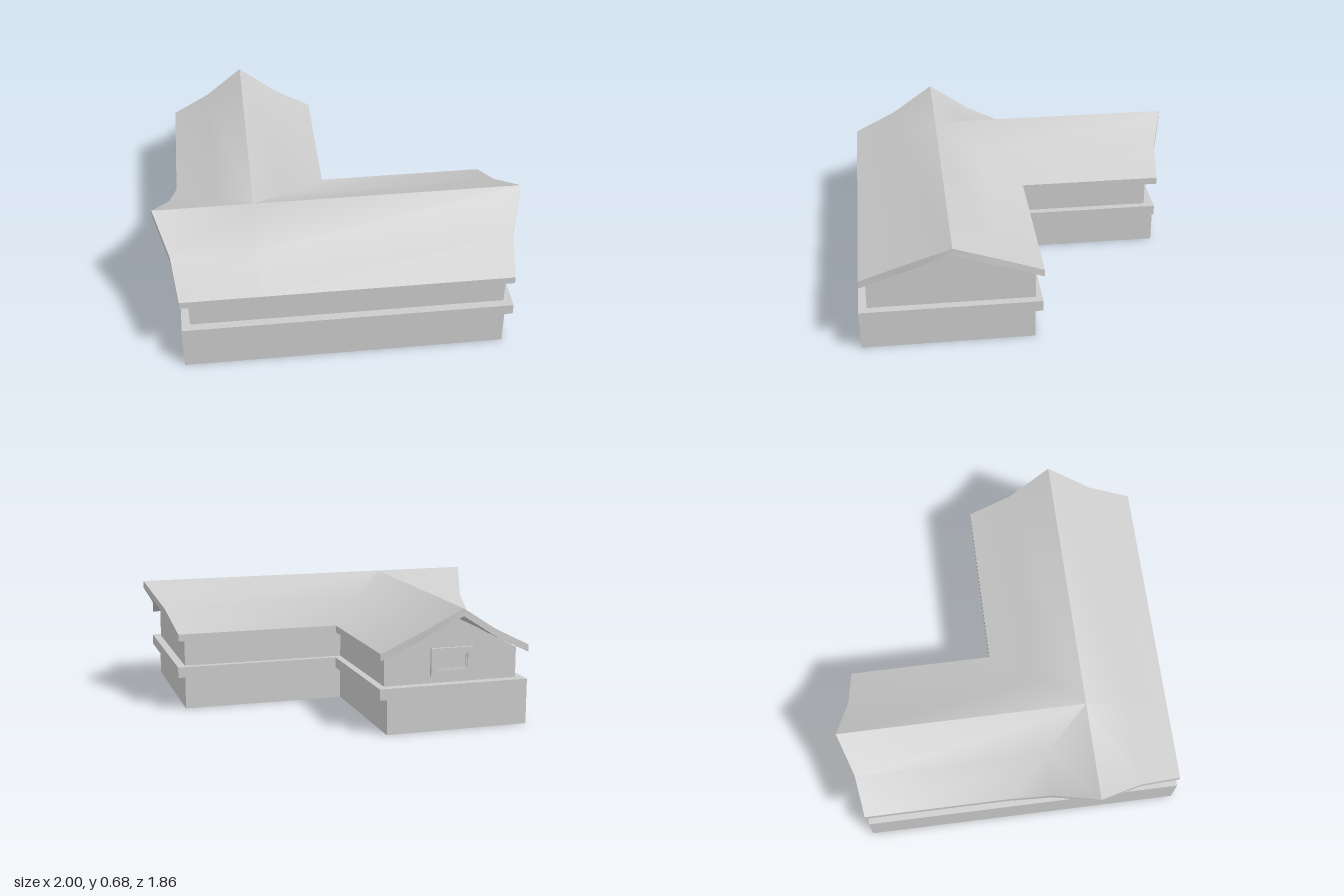
import * as THREE from 'three';
import { toCreasedNormals } from 'three/addons/utils/BufferGeometryUtils.js';

const material = new THREE.MeshStandardMaterial({ color: 0xcccccc, side: THREE.DoubleSide });

// Collects quads given counter-clockwise and turns them into a geometry
function quadBuilder() {
  const pos = [];
  return {
    quad(a, b, c, d, flip = false) {
      const q = flip ? [d, c, b, a] : [a, b, c, d];
      for (const i of [0, 1, 2, 0, 2, 3]) pos.push(...q[i]);
    },
    build() {
      const g = new THREE.BufferGeometry();
      g.setAttribute('position', new THREE.Float32BufferAttribute(pos, 3));
      g.computeVertexNormals();
      return g;
    },
  };
}

function addMesh(parent, geometry, name) {
  const mesh = new THREE.Mesh(geometry, material);
  mesh.name = name;
  parent.add(mesh);
  return mesh;
}

// Roof layout: two crossing gables sharing one height profile
const RIDGE_Z = 0.44, RIDGE_X = -0.46, THICK = 0.04;
const PROFILE = [ // share of half span, height, main end x, wing end z
  { t: 0, y: 0.675, x: 1, z: -0.93 },
  { t: 0.5, y: 0.545, x: 0.915, z: -0.86 },
  { t: 1, y: 0.44, x: 0.88, z: -0.835 },
];
const HALF_MAIN = 0.48, HALF_WING = 0.42;

function roofGeometry() {
  const b = quadBuilder();
  const lower = ([x, y, z]) => [x, y - THICK, z];
  // Each line runs from the outer rake to the inner joint, ridge first
  const slope = (lines, flip) => {
    for (let i = 0; i < lines.length - 1; i++) {
      const [p, q] = lines[i], [s, r] = lines[i + 1];
      b.quad(p, q, r, s, flip);
      b.quad(lower(s), lower(r), lower(q), lower(p), flip);
      b.quad(p, s, lower(s), lower(p), flip);
      if (i === lines.length - 2) b.quad(s, r, lower(r), lower(s), flip);
    }
  };
  for (const side of [1, -1]) {
    // front slope halves
    slope(PROFILE.map(({ t, y, x }) => {
      const z = RIDGE_Z + HALF_MAIN * t;
      return [[side * x, y, z], [RIDGE_X, y, z]];
    }), side < 0);
    // back slope, cut along the valleys
    slope(PROFILE.map(({ t, y, x }) => {
      const z = RIDGE_Z - HALF_MAIN * t;
      return [[side * x, y, z], [RIDGE_X + side * HALF_WING * t, y, z]];
    }), side > 0);
    // wing slopes up to the valleys
    slope(PROFILE.map(({ t, y, z }) => {
      const x = RIDGE_X + side * HALF_WING * t;
      return [[x, y, z], [x, y, RIDGE_Z - HALF_MAIN * t]];
    }), side < 0);
  }
  return toCreasedNormals(b.build(), 0.8);
}

// L-shaped outlines as [x, z], and the levels the shell climbs through
const BASE = [[-0.88, 0.93], [0.84, 0.93], [0.84, 0], [-0.08, 0], [-0.08, -0.83], [-0.88, -0.83]];
const LEDGE = [[-0.88, 0.93], [0.885, 0.93], [0.885, -0.035], [-0.04, -0.035], [-0.04, -0.83], [-0.88, -0.83]];
const UPPER = [[-0.835, 0.885], [0.84, 0.885], [0.84, 0], [-0.08, 0], [-0.08, -0.775], [-0.835, -0.775]];

function shellGeometry(levels) {
  const b = quadBuilder();
  for (let k = 0; k < levels.length - 1; k++) {
    const [low, y0] = levels[k], [high, y1] = levels[k + 1];
    for (let i = 0; i < low.length; i++) {
      const j = (i + 1) % low.length;
      const at = ([x, z], y) => [x, y, z];
      b.quad(at(low[i], y0), at(low[j], y0), at(high[j], y1), at(high[i], y1));
    }
  }
  return b.build();
}

// Gable triangle drawn in its own xy plane, centred under the ridge
function gableGeometry(scale) {
  const half = [[0.442, 0.415], [0.24, 0.505], [0.16, 0.543]];
  const points = [
    ...half.map(([u, y]) => new THREE.Vector2(u * scale, y)),
    new THREE.Vector2(0, 0.61),
    ...half.reverse().map(([u, y]) => new THREE.Vector2(-u * scale, y)),
  ];
  return new THREE.ShapeGeometry(new THREE.Shape(points));
}

function rectangle(path, w, h) {
  path.moveTo(-w / 2, -h / 2);
  path.lineTo(w / 2, -h / 2);
  path.lineTo(w / 2, h / 2);
  path.lineTo(-w / 2, h / 2);
  path.closePath();
  return path;
}

function frameGeometry(w, h, border, depth) {
  const shape = rectangle(new THREE.Shape(), w, h);
  shape.holes.push(rectangle(new THREE.Path(), w - 2 * border, h - 2 * border));
  return new THREE.ExtrudeGeometry(shape, { depth, bevelEnabled: false });
}

export function createModel() {
  const house = new THREE.Group();
  house.name = 'house';

  // Walls
  addMesh(house, shellGeometry([[BASE, 0], [BASE, 0.19], [LEDGE, 0.19], [LEDGE, 0.25], [UPPER, 0.25]]), 'baseWithLedge');
  addMesh(house, shellGeometry([[UPPER, 0.25], [UPPER, 0.415]]), 'upperWalls');

  // Gables
  for (const [name, x, z, turn, scale] of [
    ['leftGable', 0.84, RIDGE_Z, Math.PI / 2, 1],
    ['rightGable', -0.835, RIDGE_Z, -Math.PI / 2, 1],
    ['wingGable', RIDGE_X, -0.775, Math.PI, 0.86],
  ]) {
    const gable = addMesh(house, gableGeometry(scale), name);
    gable.position.set(x, 0, z);
    gable.rotation.y = turn;
  }

  // Window on the wing end
  const gableWindow = new THREE.Group();
  gableWindow.name = 'gableWindow';
  gableWindow.position.set(RIDGE_X, 0.365, -0.775);
  gableWindow.rotation.y = Math.PI;
  addMesh(gableWindow, frameGeometry(0.24, 0.15, 0.03, 0.016), 'windowFrame');
  addMesh(gableWindow, frameGeometry(0.18, 0.09, 0.008, 0.008), 'windowSash');
  house.add(gableWindow);

  // Roof
  addMesh(house, roofGeometry(), 'roof');
  return house;
}
